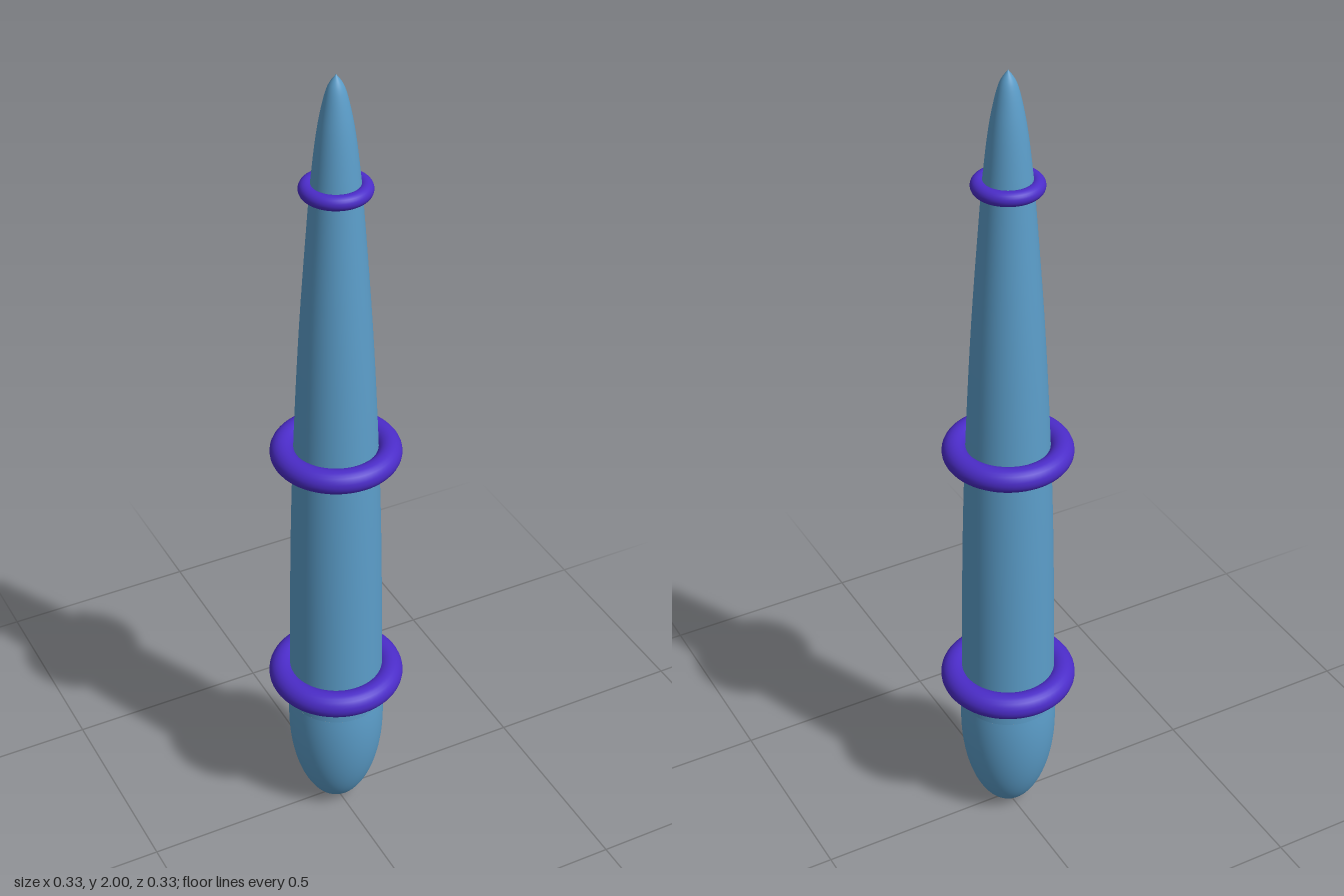
import * as THREE from 'three';

const SEGMENTS = 64;

export function createModel() {
  const model = new THREE.Group();
  model.name = 'ringedSpindle';
  const blue = new THREE.MeshStandardMaterial({ color: 0x5b9dc9 });
  const purple = new THREE.MeshStandardMaterial({ color: 0x4b2cc8 });

  const add = (name, geometry, material) => {
    const mesh = new THREE.Mesh(geometry, material);
    mesh.name = name;
    model.add(mesh);
    return mesh;
  };

  // Rounded base: lower part of a stretched ellipsoid, cut just above its widest point
  const centerY = 0.27, baseRadius = 0.117, cutY = 0.33;
  const endAngle = Math.asin((cutY - centerY) / centerY);
  const base = [];
  for (let i = 0; i <= 24; i++) {
    const a = THREE.MathUtils.lerp(-Math.PI / 2, endAngle, i / 24);
    base.push(new THREE.Vector2(Math.max(0, baseRadius * Math.cos(a)), centerY + centerY * Math.sin(a)));
  }
  add('roundedBase', new THREE.LatheGeometry(base, SEGMENTS), blue);

  // Long shaft, gently tapering to the pointed tip
  const shaft = new THREE.SplineCurve([
    [0.114, 0.33], [0.112, 0.5], [0.107, 0.8], [0.098, 1.07], [0.081, 1.4], [0.056, 1.74],
  ].map(([r, y]) => new THREE.Vector2(r, y))).getPoints(30);
  add('taperedShaft', new THREE.LatheGeometry(shaft, SEGMENTS), blue);

  const tip = new THREE.SplineCurve([
    [0.056, 1.74], [0.045, 1.84], [0.034, 1.91], [0.019, 1.97], [0, 2],
  ].map(([r, y]) => new THREE.Vector2(r, y))).getPoints(20);
  tip[tip.length - 1].set(0, 2);
  add('pointedTip', new THREE.LatheGeometry(tip, SEGMENTS), blue);

  // Rings around the shaft: name, height, centre-line radius, tube radius
  for (const [name, y, radius, tube] of [
    ['lowerRing', 0.407, 0.132, 0.032],
    ['middleRing', 1.065, 0.123, 0.029],
    ['upperRing', 1.738, 0.064, 0.017],
  ]) {
    const ring = add(name, new THREE.TorusGeometry(radius, tube, 24, SEGMENTS), purple);
    ring.rotation.x = Math.PI / 2;
    ring.position.y = y;
  }

  return model;
}
